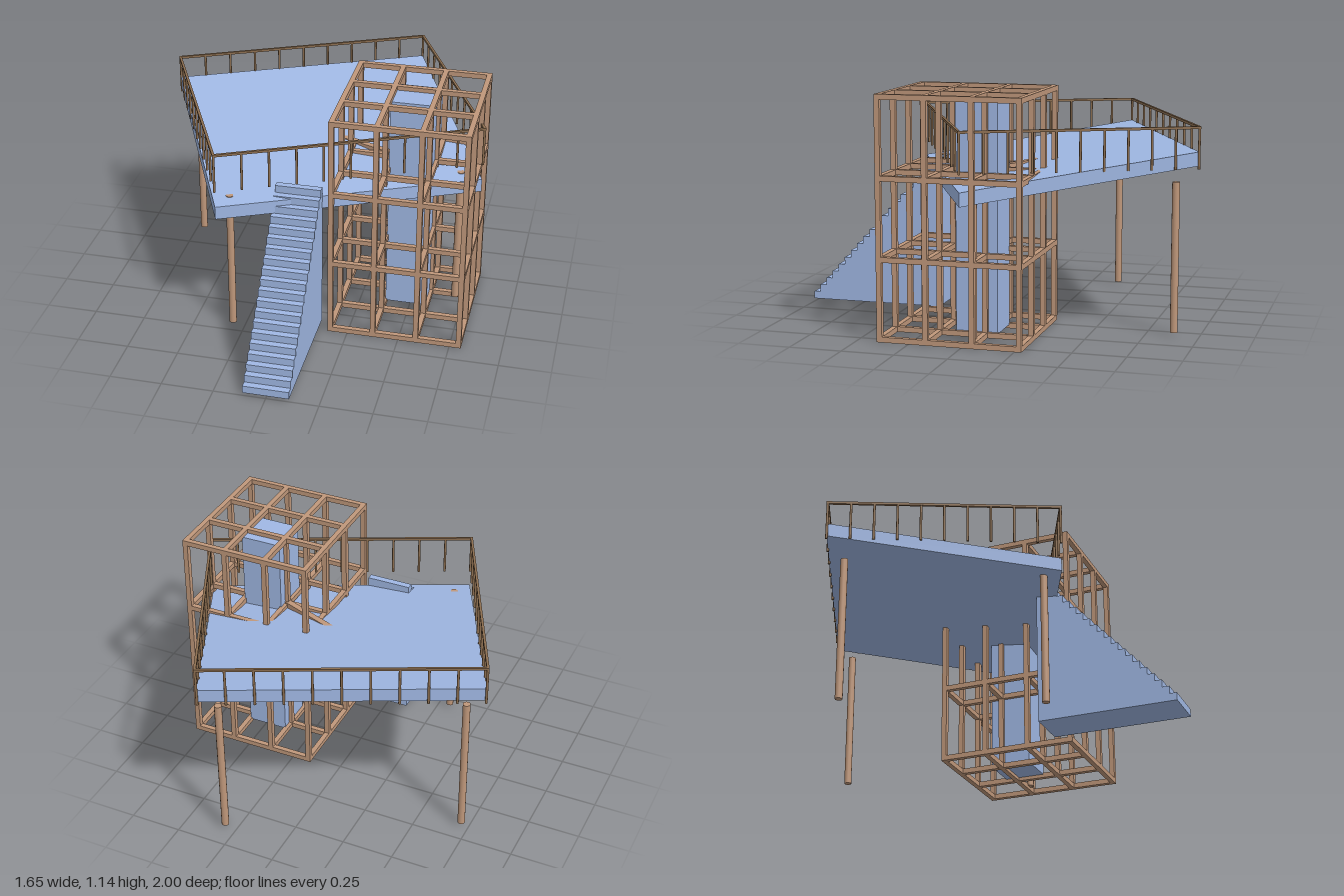
import * as THREE from 'three';

const blue = new THREE.MeshStandardMaterial({ color: 0xa0b8e4 });
blue.name = 'slate blue';
const wood = new THREE.MeshStandardMaterial({ color: 0xc0987b });
wood.name = 'warm wood';
const darkWood = new THREE.MeshStandardMaterial({ color: 0x8c6e50 });
darkWood.name = 'dark wood';

function box(parent, name, material, size, position) {
  const mesh = new THREE.Mesh(new THREE.BoxGeometry(...size), material);
  mesh.name = name;
  mesh.position.set(...position);
  parent.add(mesh);
  return mesh;
}

function post(parent, name, material, radius, x, z, bottom, top) {
  const mesh = new THREE.Mesh(new THREE.CylinderGeometry(radius, radius, top - bottom, 12), material);
  mesh.name = name;
  mesh.position.set(x, (bottom + top) / 2, z);
  parent.add(mesh);
}

// Sloping deck with a level railing, turned about the vertical axis
function createTerrace() {
  const terrace = new THREE.Group();
  terrace.name = 'terrace';
  terrace.rotation.y = 0.4395;
  terrace.position.z = -0.22;
  const w = 1.29, d = 1.096;

  const deck = box(terrace, 'deck', blue, [w, 0.065, d], [0, 0.757, 0]);
  const p = deck.geometry.attributes.position;
  for (let i = 0; i < p.count; i++) p.setY(i, p.getY(i) - p.getZ(i) * 0.146);
  deck.geometry.computeVertexNormals();

  const railing = new THREE.Group();
  railing.name = 'railing';
  terrace.add(railing);
  const t = 0.012, count = 10;
  for (const s of [-1, 1]) {
    box(railing, 'handrail', darkWood, [w + t, t, t], [0, 0.98, s * d / 2]);
    box(railing, 'handrail', darkWood, [t, t, d + t], [s * w / 2, 0.98, 0]);
    for (let i = 0; i < count; i++) {
      const u = (i / count - 0.5) * s;
      post(railing, 'baluster', darkWood, 0.006, u * w, s * d / 2, 0.79, 0.98);
      post(railing, 'baluster', darkWood, 0.006, s * w / 2, -u * d, 0.79, 0.98);
    }
  }
  return terrace;
}

// Open lattice of square beams, three bays in each direction
function createTower() {
  const tower = new THREE.Group();
  tower.name = 'latticeTower';
  const xs = [0.165, 0.375, 0.585, 0.794];
  const ys = [0.0125, 0.384, 0.756, 1.125];
  const zs = [-0.27, -0.05, 0.17, 0.39];
  const t = 0.025;
  const span = (a) => a[3] - a[0] + t;
  const mid = (a) => (a[0] + a[3]) / 2;
  for (let i = 0; i < 4; i++) {
    for (let j = 0; j < 4; j++) {
      box(tower, 'upright', wood, [t, span(ys), t], [xs[i], mid(ys), zs[j]]);
      box(tower, 'crossBeam', wood, [span(xs), t, t], [mid(xs), ys[i], zs[j]]);
      box(tower, 'depthBeam', wood, [t, t, span(zs)], [xs[i], ys[j], mid(zs)]);
    }
  }
  return tower;
}

// Solid flight of steps climbing toward the back
function createStairs() {
  const steps = 20, front = 1, back = 0.33, bottom = 0.015, top = 0.755;
  const run = (front - back) / steps, rise = (top - bottom) / steps;
  const shape = new THREE.Shape();
  shape.moveTo(-back, bottom);
  shape.lineTo(-front, bottom);
  for (let i = 0; i < steps; i++) {
    shape.lineTo(-front + i * run, bottom + (i + 1) * rise);
    shape.lineTo(-front + (i + 1) * run, bottom + (i + 1) * rise);
  }
  shape.closePath();
  const geometry = new THREE.ExtrudeGeometry(shape, { depth: 0.22, bevelEnabled: false });
  geometry.translate(0, 0, -0.11);
  geometry.rotateY(Math.PI / 2);
  const stairs = new THREE.Mesh(geometry, blue);
  stairs.name = 'stairs';
  return stairs;
}

export function createModel() {
  const model = new THREE.Group();
  model.name = 'raisedTerrace';
  model.add(createTerrace(), createTower(), createStairs());

  // Shaft inside the tower
  box(model, 'shaft', blue, [0.2, 1.1, 0.2], [0.48, 0.567, -0.007]);

  // Round supports under the deck corners
  for (const [x, z] of [[-0.71, -0.4], [-0.31, 0.445], [0.31, -0.88], [0.71, -0.03]]) {
    post(model, 'supportColumn', wood, 0.018, x, z, 0.015, 0.722);
  }

  // Slanting tie beam from the tower into the deck
  const tie = box(model, 'tieBeam', wood, [0.32, 0.03, 0.03], [0.228, 0.761, -0.112]);
  tie.rotation.y = -0.375;
  return model;
}
